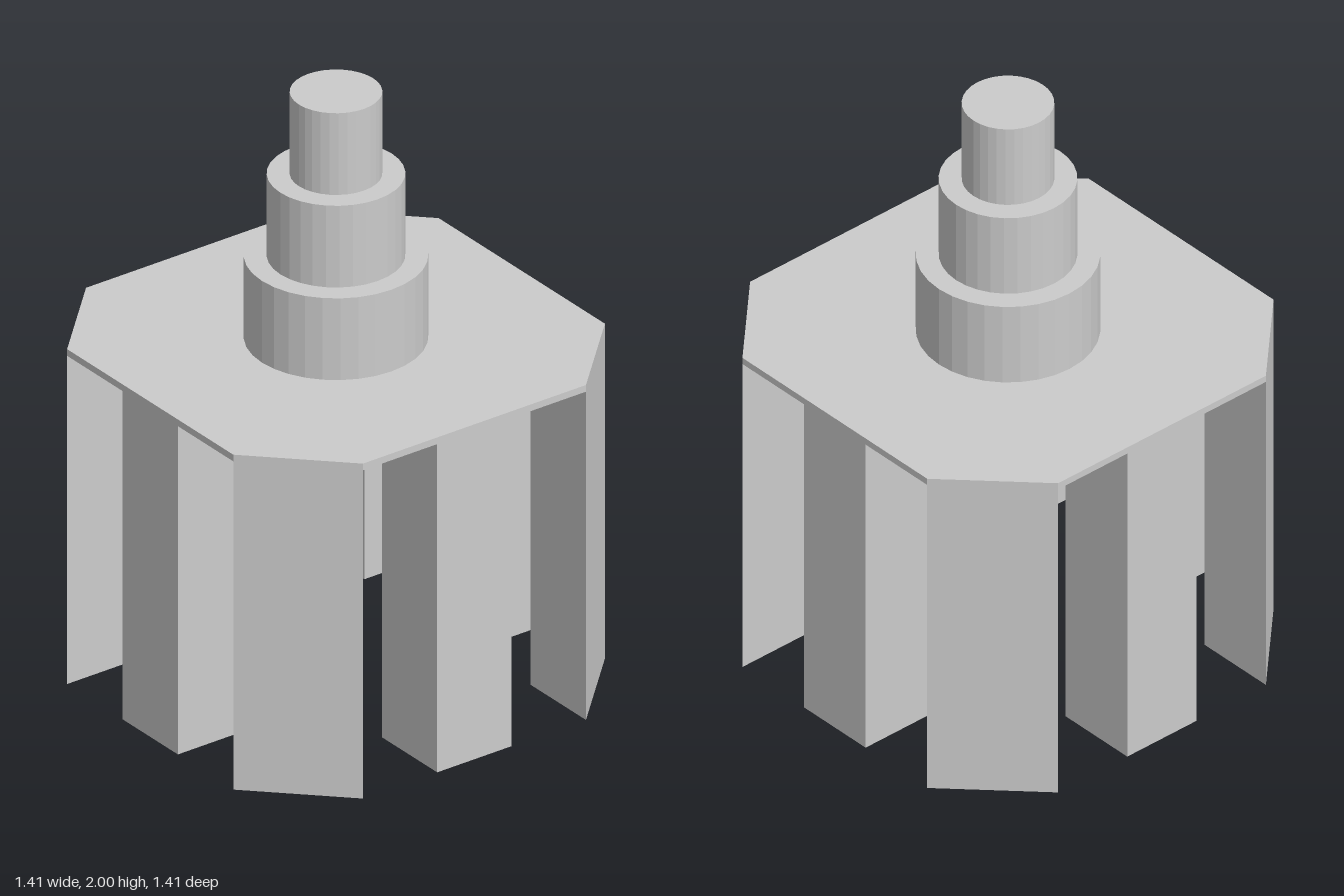
import * as THREE from 'three';

export function createModel() {
  const group = new THREE.Group();
  const material = new THREE.MeshStandardMaterial({ color: 0xcccccc, flatShading: true });
  const outer = 0.704, inner = 0.4225, half = 0.141;
  const plateBottom = 1.132, plateTop = 1.155;

  const add = (name, geometry, x = 0, y = 0, z = 0) => {
    const mesh = new THREE.Mesh(geometry, material);
    mesh.name = name;
    mesh.position.set(x, y, z);
    group.add(mesh);
    return mesh;
  };

  // Upright prism from a floor outline of [x, z] points
  const prism = (points, height) => {
    const shape = new THREE.Shape(points.map(([x, z]) => new THREE.Vector2(x, -z)));
    return new THREE.ExtrudeGeometry(shape, { depth: height, bevelEnabled: false }).rotateX(-Math.PI / 2);
  };

  // Thin octagonal deck
  add('deck', prism([
    [inner, outer], [outer, inner], [outer, -inner], [inner, -outer],
    [-inner, -outer], [-outer, -inner], [-outer, inner], [-inner, outer],
  ], plateTop - plateBottom), 0, plateBottom, 0);

  // Square legs at the side centres, triangular legs under the cut corners
  const squareLeg = prism([[-half, inner], [half, inner], [half, outer], [-half, outer]], plateBottom);
  const cornerLeg = prism([[inner, inner], [outer, inner], [inner, outer]], plateBottom);
  for (let i = 0; i < 4; i++) {
    add('sideLeg', squareLeg).rotation.y = i * Math.PI / 2;
    add('cornerLeg', cornerLeg).rotation.y = i * Math.PI / 2;
  }

  // Stepped round tower
  const step = (2 - plateTop) / 3;
  [['lowerTier', 0.281], ['middleTier', 0.211], ['upperTier', 0.141]].forEach(([name, radius], i) => {
    add(name, new THREE.CylinderGeometry(radius, radius, step, 32), 0, plateTop + step * (i + 0.5), 0);
  });

  return group;
}
